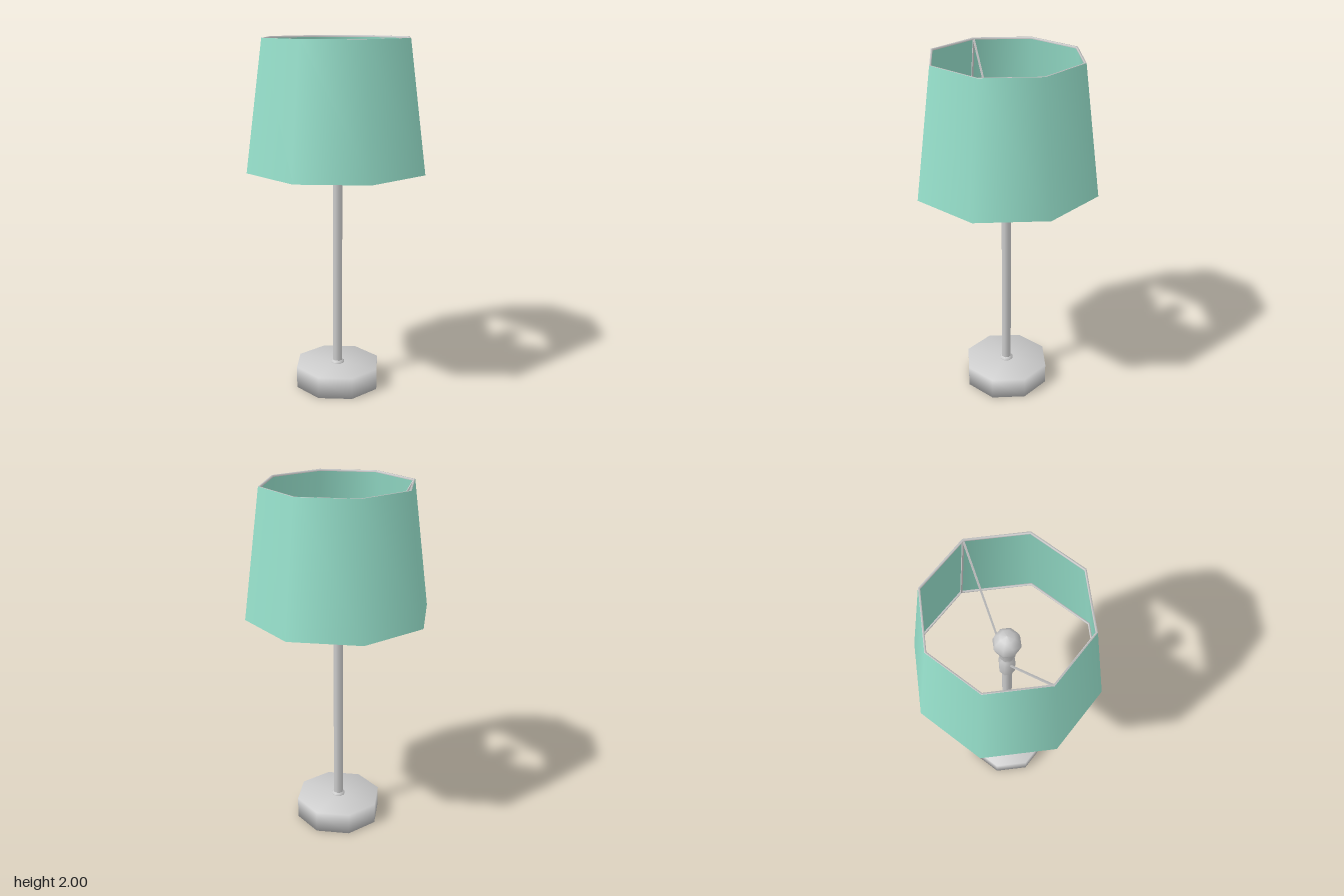
import * as THREE from 'three';

const SIDES = 8;
const grey = new THREE.MeshStandardMaterial({ color: 0xcccccc });
const mint = new THREE.MeshStandardMaterial({ color: 0x96e0cb, side: THREE.DoubleSide });

// Eight-sided smooth turned part from [radius, height] pairs, bottom to top
function turned(name, profile, material = grey) {
  const points = profile.map(([r, y]) => new THREE.Vector2(r, y));
  const mesh = new THREE.Mesh(new THREE.LatheGeometry(points, SIDES), material);
  mesh.name = name;
  return mesh;
}

// Thin square wire between two points
function wire(name, a, b, thickness = 0.009) {
  const from = new THREE.Vector3(...a);
  const dir = new THREE.Vector3(...b).sub(from);
  const mesh = new THREE.Mesh(new THREE.BoxGeometry(thickness, dir.length(), thickness), grey);
  mesh.position.copy(from).addScaledVector(dir, 0.5);
  mesh.quaternion.setFromUnitVectors(new THREE.Vector3(0, 1, 0), dir.normalize());
  mesh.name = name;
  return mesh;
}

// Octagonal frame ring with a square section, r is its outer radius
function ring(name, r, y) {
  const t = 0.01;
  return turned(name, [[r - t, y], [r, y], [r, y + t], [r - t, y + t], [r - t, y]]);
}

export function createModel() {
  const lamp = new THREE.Group();
  lamp.name = 'tableLamp';

  // Foot and stem
  lamp.add(turned('base', [[0, 0], [0.25, 0], [0.25, 0.125], [0, 0.125]]));
  lamp.add(turned('stemCollar', [[0.04, 0.12], [0.04, 0.132], [0.028, 0.14]]));
  lamp.add(turned('stem', [[0.028, 0.12], [0.028, 1.28]]));

  // Socket and bulb
  lamp.add(turned('socket', [
    [0.026, 1.265], [0.045, 1.285], [0.045, 1.4], [0.03, 1.42], [0.03, 1.455],
  ]));
  lamp.add(turned('bulb', [
    [0.03, 1.45], [0.044, 1.475], [0.044, 1.535], [0.065, 1.575],
    [0.075, 1.62], [0.065, 1.665], [0.038, 1.695], [0, 1.705],
  ]));

  // Shade with its wire frame
  lamp.add(turned('shade', [[0.517, 1.29], [0.42, 2]], mint));
  const frame = new THREE.Group();
  frame.name = 'shadeFrame';
  frame.add(ring('lowerRing', 0.515, 1.29), ring('upperRing', 0.42, 1.99));
  for (const s of [-1, 1]) {
    frame.add(wire('sideWire', [s * 0.508, 1.295, 0], [s * 0.413, 1.995, 0]));
    frame.add(wire('supportWire', [s * 0.03, 1.385, 0], [s * 0.413, 1.992, 0]));
  }
  lamp.add(frame);
  return lamp;
}
